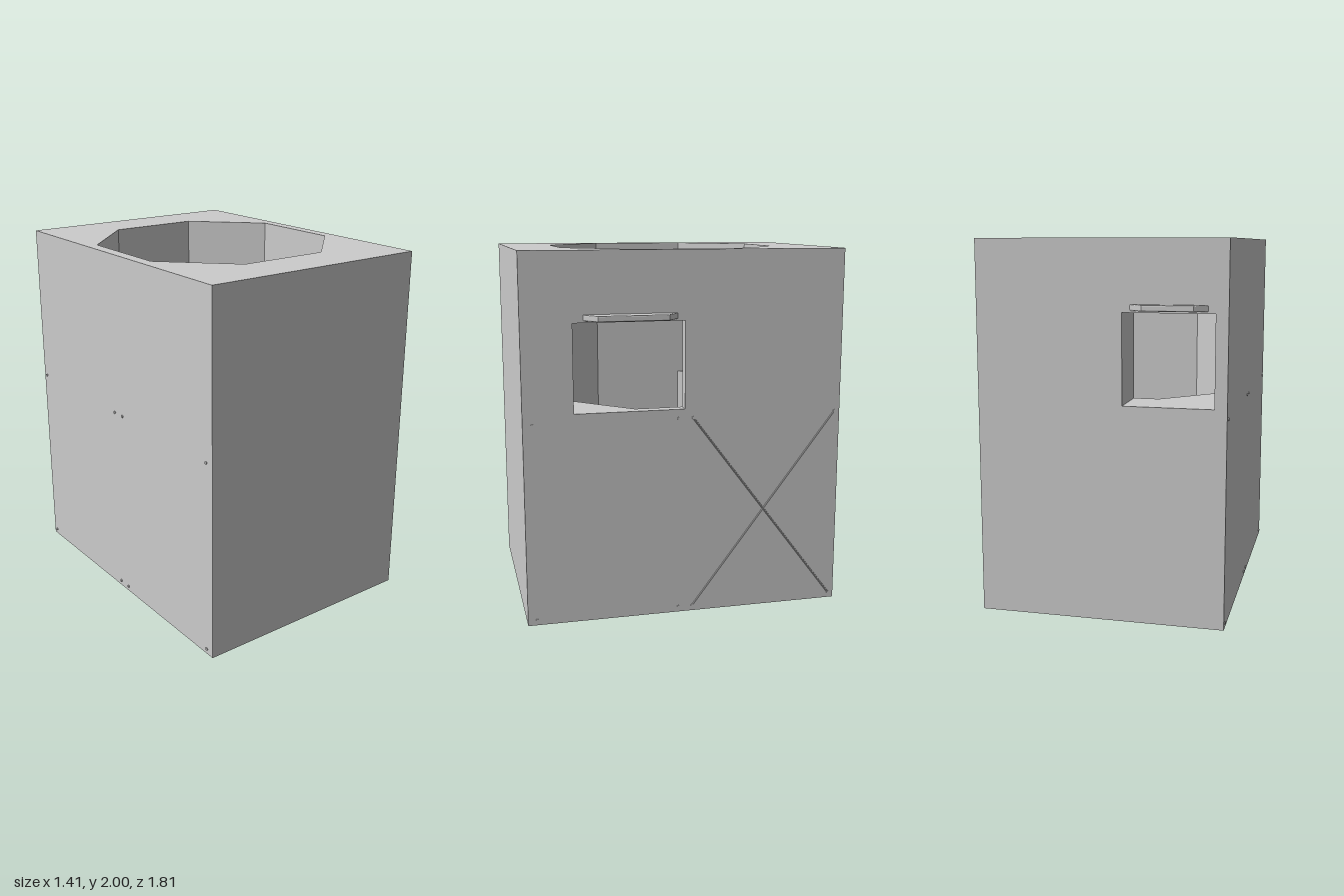
import * as THREE from 'three';
import { mergeGeometries } from 'three/addons/utils/BufferGeometryUtils.js';

const grey = new THREE.MeshStandardMaterial({ color: 0xcccccc, flatShading: true });
const HEIGHT = 2, SILL = 1.155, LINTEL = 1.63;

// Plans are [x, z] points with the solid on the left-hand side of travel
const outer = [[-0.7, 0.9], [0.62, 0.9], [0.62, -0.86], [-0.7, -0.86]];
const shaft = [[0.555, -0.25], [0.555, 0.29], [0.215, 0.63], [-0.295, 0.63],
  [-0.635, 0.29], [-0.635, -0.25], [-0.295, -0.59], [0.215, -0.59]];
// The two pieces of wall left between the window openings
const backCorner = [[0.62, 0.03], [0.62, -0.86], [-0.16, -0.86], [-0.16, -0.59],
  [0.215, -0.59], [0.555, -0.25], [0.555, 0.03]];
const frontCorner = [[-0.7, 0.9], [0.62, 0.9], [0.62, 0.63], [-0.295, 0.63],
  [-0.635, 0.29], [-0.635, -0.86], [-0.7, -0.86]];
// Floors and ceilings of the two openings
const sideOpening = [[0.62, 0.03], [0.555, 0.03], [0.555, 0.29], [0.215, 0.63], [0.62, 0.63]];
const backOpening = [[-0.16, -0.86], [-0.635, -0.86], [-0.635, -0.25], [-0.295, -0.59], [-0.16, -0.59]];

// Vertical faces along a closed plan
function walls(plan, y0, y1) {
  return plan.map(([x, z], i) => {
    const [x2, z2] = plan[(i + 1) % plan.length];
    return new THREE.PlaneGeometry(Math.hypot(x2 - x, z2 - z), y1 - y0)
      .rotateY(Math.atan2(z - z2, x2 - x))
      .translate((x + x2) / 2, (y0 + y1) / 2, (z + z2) / 2);
  });
}

// Horizontal face, dir = 1 faces up and -1 faces down
function cap(plan, y, dir, hole) {
  const points = p => p.map(([x, z]) => new THREE.Vector2(x, -dir * z));
  const shape = new THREE.Shape(points(plan));
  if (hole) shape.holes.push(new THREE.Path(points(hole)));
  return new THREE.ShapeGeometry(shape).rotateX(-dir * Math.PI / 2).translate(0, y, 0);
}

function add(parent, name, geometry) {
  const mesh = new THREE.Mesh(geometry, grey);
  mesh.name = name;
  parent.add(mesh);
  return mesh;
}

// Thin trapezoid ledge reaching out from a wall
function ledge(base, tip, depth, angle) {
  const b = 0.006;
  const shape = new THREE.Shape([
    new THREE.Vector2(-base / 2 + b, 0), new THREE.Vector2(base / 2 - b, 0),
    new THREE.Vector2(tip / 2 - b, depth - b), new THREE.Vector2(-tip / 2 + b, depth - b),
  ]);
  return new THREE.ExtrudeGeometry(shape, {
    depth: 0.02, bevelEnabled: true, bevelSize: b, bevelThickness: b, bevelSegments: 2,
  }).rotateX(Math.PI / 2).rotateY(angle);
}

export function createModel() {
  const model = new THREE.Group();
  model.name = 'hollowTower';

  // Block with an octagonal shaft and two window openings
  const faces = [
    ...[outer, shaft].flatMap(p => [...walls(p, 0, SILL), ...walls(p, LINTEL, HEIGHT)]),
    ...[backCorner, frontCorner].flatMap(p => walls(p, SILL, LINTEL)),
    cap(outer, 0, -1, shaft), cap(outer, HEIGHT, 1, shaft),
    ...[sideOpening, backOpening].flatMap(p => [cap(p, SILL, 1), cap(p, LINTEL, -1)]),
  ];
  add(model, 'towerBody', mergeGeometries(faces));

  // Ledges above the windows
  add(model, 'sideLedge', ledge(0.505, 0.38, 0.085, Math.PI / 2)).position.set(0.62, 1.666, 0.3225);
  add(model, 'backLedge', ledge(0.4, 0.27, 0.045, Math.PI)).position.set(-0.4, 1.666, -0.86);

  // Bolt heads on both long sides
  const bolts = new THREE.Group();
  bolts.name = 'bolts';
  model.add(bolts);
  for (const x of [0.621, -0.701])
    for (const z of [0.85, 0.065, -0.015, -0.83])
      for (const y of [0.03, 1.105])
        add(bolts, 'bolt', new THREE.CylinderGeometry(0.008, 0.008, 0.01, 8).rotateZ(Math.PI / 2))
          .position.set(x, y, z);

  // Crossed bracing rods on the left side
  const length = Math.hypot(1.075, 0.815);
  for (const s of [1, -1]) {
    const rod = add(model, 'braceRod', new THREE.CylinderGeometry(0.005, 0.005, length, 8));
    rod.position.set(0.621, 0.5675, -0.4225);
    rod.rotation.x = s * Math.atan2(0.815, 1.075);
  }
  return model;
}
